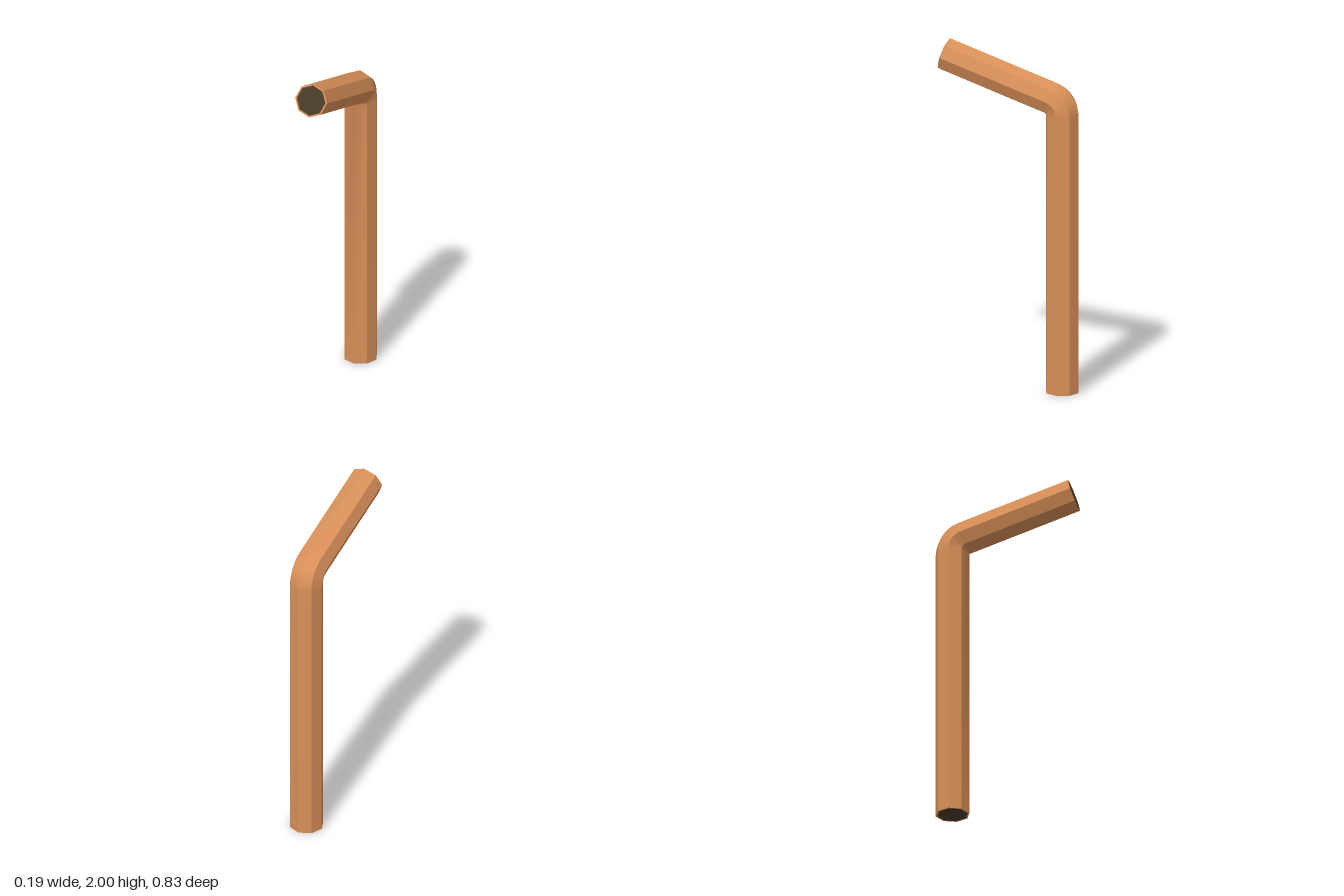
import * as THREE from 'three';
import { toCreasedNormals } from 'three/addons/utils/BufferGeometryUtils.js';

const SIDES = 8, RADIUS = 0.0975, BORE = 0.087;
const BEND_RADIUS = 0.1, BEND_STEPS = 12;
const LEG_Z = -0.3175, BEND_Y = 1.614; // axis of the upright and start of its bend
const RISE = THREE.MathUtils.degToRad(17.3); // slope of the upper arm
const TURN = Math.PI / 2 - RISE;
const TIP = { y: 1.907, z: 0.385 };

// Stations along the axis: foot, the bend's arc, tip
function makeStations() {
  const stations = [{ y: 0, z: LEG_Z, a: 0 }];
  for (let i = 0; i <= BEND_STEPS; i++) {
    const a = (TURN * i) / BEND_STEPS;
    stations.push({
      y: BEND_Y + BEND_RADIUS * Math.sin(a),
      z: LEG_Z + BEND_RADIUS * (1 - Math.cos(a)),
      a,
    });
  }
  stations.push({ ...TIP, a: TURN });
  return stations;
}

// Octagonal tube: each row of an open cylinder is moved to its station and tilted
function bentTube() {
  const stations = makeStations();
  const rows = stations.length - 1;
  const geometry = new THREE.CylinderGeometry(RADIUS, RADIUS, rows, SIDES, rows, true);
  const p = geometry.attributes.position;
  for (let i = 0; i < p.count; i++) {
    const s = stations[Math.round(p.getY(i) + rows / 2)];
    const across = p.getZ(i);
    p.setXYZ(i, p.getX(i), s.y - across * Math.sin(s.a), s.z + across * Math.cos(s.a));
  }
  return toCreasedNormals(geometry, Math.PI / 6);
}

export function createModel() {
  const model = new THREE.Group();
  model.name = 'bentTube';
  const copper = new THREE.MeshStandardMaterial({ color: 0xd99058 });
  const dark = new THREE.MeshStandardMaterial({ color: 0x4a3c2a });

  const tube = new THREE.Mesh(bentTube(), copper);
  tube.name = 'tubeWall';
  model.add(tube);

  // Each end: thin rim around a dark opening
  function addEnd(name, y, z, tilt) {
    const end = new THREE.Group();
    end.name = name;
    const rim = new THREE.Mesh(new THREE.RingGeometry(BORE, RADIUS, SIDES), copper);
    rim.name = name + 'Rim';
    const opening = new THREE.Mesh(new THREE.CircleGeometry(BORE, SIDES), dark);
    opening.name = name + 'Opening';
    end.add(rim, opening);
    end.position.set(0, y, z);
    end.rotation.x = tilt;
    model.add(end);
  }
  addEnd('upperEnd', TIP.y, TIP.z, -RISE);
  addEnd('lowerEnd', 0, LEG_Z, Math.PI / 2);

  return model;
}
